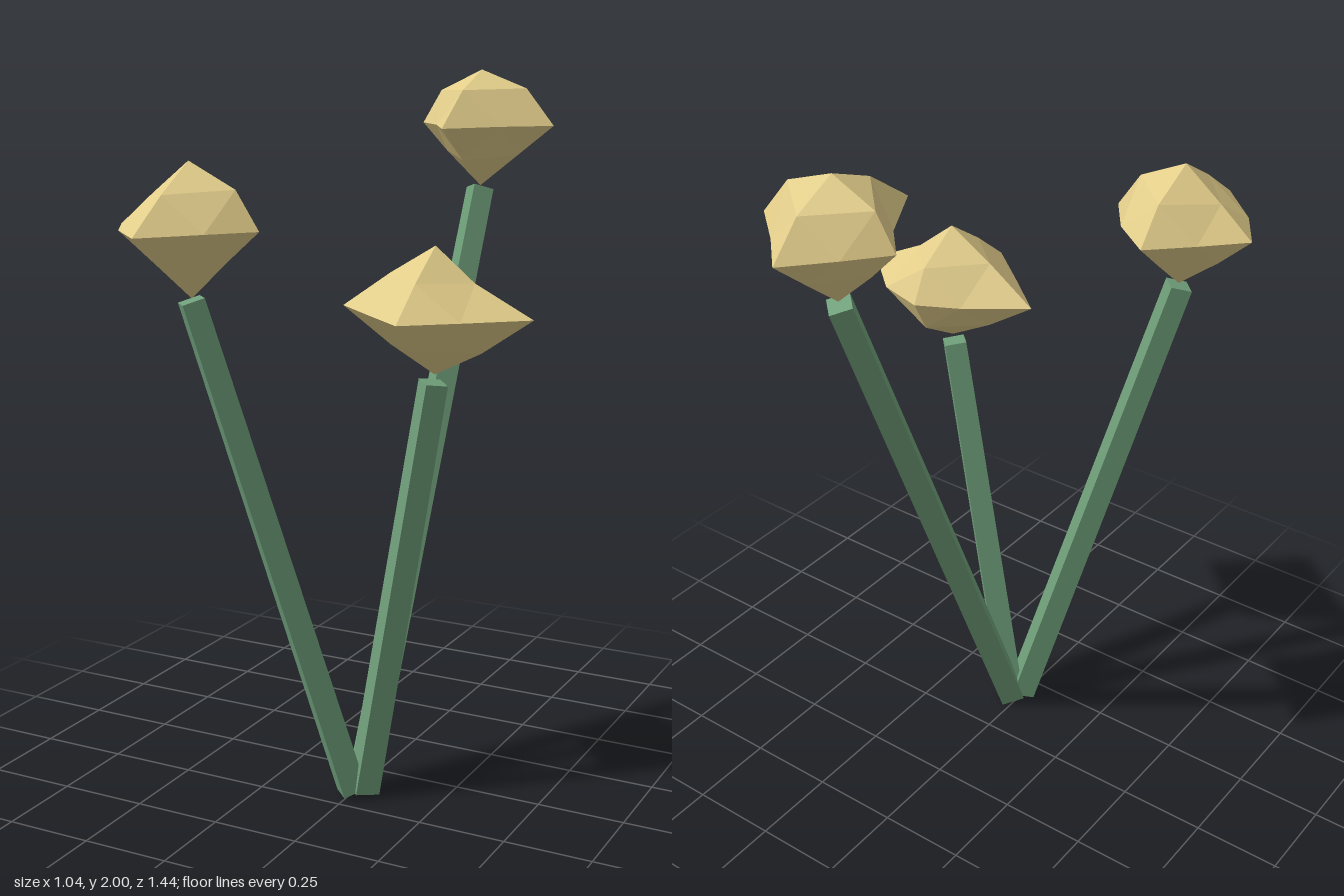
import * as THREE from 'three';

const stemMaterial = new THREE.MeshStandardMaterial({ color: 0x6f9f7a, flatShading: true });
const headMaterial = new THREE.MeshStandardMaterial({ color: 0xe2cd8a, flatShading: true });

// Each flower: stem ends, head centre, and how far the head reaches.
// tips: +x -x +y -y +z -z; upper and lower: +x -x +z -z; waist: +x+z -x+z +x-z -x-z
const flowers = [
  {
    name: 'leftFlower',
    base: [0.035, 0.02, 0.163], top: [0.24, 1.215, 0.16], centre: [0.243, 1.4, 0.158],
    tips: [0.275, 0.27, 0.174, 0.164, 0.233, 0.172],
    upper: [0.112, 0.13, 0.122, 0.126], lower: [0.132, 0.128, 0.116, 0.123],
    waist: [0.128, 0.126, 0.132, 0.114],
  },
  {
    name: 'rightFlower',
    base: [0.005, 0.02, 0.18], top: [-0.31, 1.435, 0.46], centre: [-0.308, 1.622, 0.46],
    tips: [0.205, 0.212, 0.17, 0.182, 0.258, 0.213],
    upper: [0.138, 0.112, 0.127, 0.134], lower: [0.11, 0.118, 0.129, 0.115],
    waist: [0.114, 0.13, 0.12, 0.108],
  },
  {
    name: 'backFlower',
    base: [0.02, 0.02, 0.145], top: [0.08, 1.66, -0.5], centre: [0.08, 1.845, -0.503],
    tips: [0.225, 0.186, 0.155, 0.177, 0.276, 0.216],
    upper: [0.14, 0.128, 0.136, 0.126], lower: [0.116, 0.108, 0.13, 0.114],
    waist: [0.11, 0.098, 0.106, 0.102],
  },
];

// Octahedron split once, its 18 corners pulled in or out
function makeHead({ tips, upper, lower, waist, centre }) {
  const geometry = new THREE.OctahedronGeometry(1, 1);
  const position = geometry.attributes.position;
  const sign = (v) => (Math.abs(v) < 0.01 ? 0 : Math.sign(v));
  for (let i = 0; i < position.count; i++) {
    const x = sign(position.getX(i)), y = sign(position.getY(i)), z = sign(position.getZ(i));
    const count = Math.abs(x) + Math.abs(y) + Math.abs(z);
    const side = x ? (x > 0 ? 0 : 1) : (z > 0 ? 2 : 3);
    let reach, squash = 1;
    if (count === 1) {
      reach = y ? tips[y > 0 ? 2 : 3] : tips[side < 2 ? side : side + 2];
    } else if (y) {
      reach = (y > 0 ? upper : lower)[side];
      squash = 0.74;
    } else {
      reach = waist[(x > 0 ? 0 : 1) + (z > 0 ? 0 : 2)];
    }
    position.setXYZ(i, x * reach, y * reach * squash, z * reach);
  }
  geometry.computeVertexNormals();
  const head = new THREE.Mesh(geometry, headMaterial);
  head.name = 'flowerHead';
  head.position.set(...centre);
  return head;
}

// Four-sided stem leaning from base to top
function makeStem({ base, top }) {
  const from = new THREE.Vector3(...base), to = new THREE.Vector3(...top);
  const along = to.clone().sub(from);
  const stem = new THREE.Mesh(new THREE.CylinderGeometry(0.043, 0.049, along.length(), 4), stemMaterial);
  stem.name = 'stem';
  stem.position.copy(from).add(to).multiplyScalar(0.5);
  stem.quaternion.setFromUnitVectors(new THREE.Vector3(0, 1, 0), along.normalize());
  return stem;
}

export function createModel() {
  const model = new THREE.Group();
  model.name = 'flowerCluster';
  for (const spec of flowers) {
    const flower = new THREE.Group();
    flower.name = spec.name;
    flower.add(makeStem(spec), makeHead(spec));
    model.add(flower);
  }
  return model;
}
